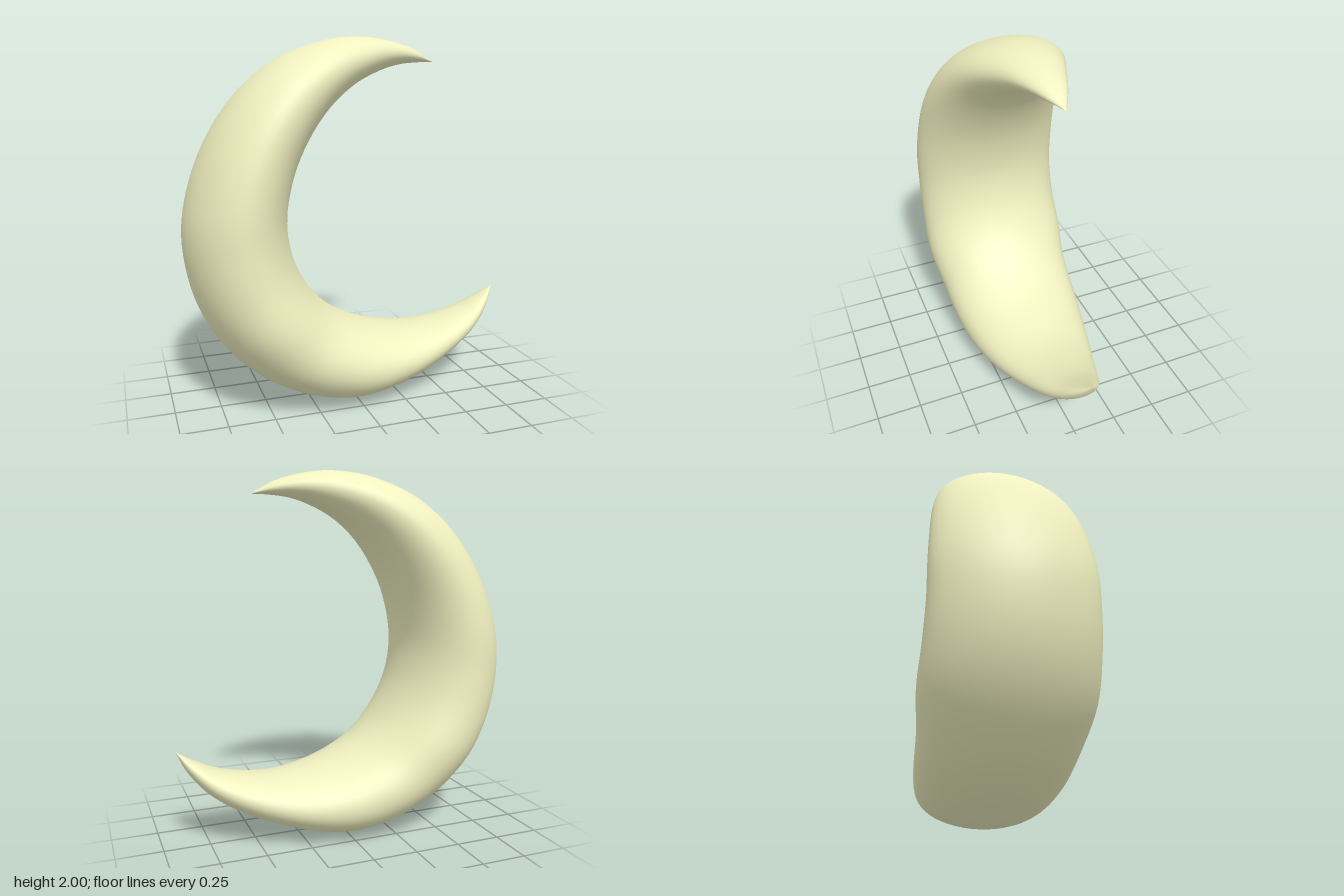
import * as THREE from 'three';

// Stations from the upper tip to the lower tip:
// [outer x, outer y, inner x, inner y, half thickness in z]
const STATIONS = [
  [0.49, 1.87, 0.49, 1.87, 0],
  [0.36, 1.94, 0.40, 1.868, 0.06],
  [0.20, 1.985, 0.28, 1.855, 0.12],
  [0.03, 2.0, 0.16, 1.82, 0.18],
  [-0.18, 1.97, 0.0, 1.74, 0.26],
  [-0.42, 1.87, -0.14, 1.62, 0.33],
  [-0.63, 1.69, -0.25, 1.47, 0.38],
  [-0.80, 1.43, -0.33, 1.30, 0.41],
  [-0.90, 1.14, -0.375, 1.10, 0.425],
  [-0.92, 0.92, -0.37, 0.95, 0.425],
  [-0.87, 0.64, -0.33, 0.80, 0.43],
  [-0.75, 0.40, -0.24, 0.64, 0.435],
  [-0.55, 0.19, -0.12, 0.52, 0.405],
  [-0.30, 0.055, 0.02, 0.44, 0.385],
  [-0.03, 0.0, 0.17, 0.39, 0.35],
  [0.25, 0.045, 0.36, 0.36, 0.29],
  [0.55, 0.16, 0.53, 0.375, 0.21],
  [0.75, 0.29, 0.70, 0.42, 0.14],
  [0.86, 0.42, 0.82, 0.48, 0.075],
  [0.92, 0.54, 0.92, 0.54, 0],
];
const RINGS = 95, SIDES = 48;

function crescentGeometry() {
  // The z of the outer curve carries the half thickness
  const outer = new THREE.CatmullRomCurve3(STATIONS.map(s => new THREE.Vector3(s[0], s[1], s[4])));
  const inner = new THREE.CatmullRomCurve3(STATIONS.map(s => new THREE.Vector3(s[2], s[3], 0)));
  const positions = [], indices = [];

  for (let i = 0; i <= RINGS; i++) {
    const o = outer.getPoint(i / RINGS), n = inner.getPoint(i / RINGS);
    for (let j = 0; j < SIDES; j++) {
      // Elliptical section spanning inner edge to outer edge
      const a = (j / SIDES) * Math.PI * 2;
      const k = (1 + Math.cos(a)) / 2;
      positions.push(n.x + (o.x - n.x) * k, n.y + (o.y - n.y) * k, Math.sin(a) * o.z);
      if (i < RINGS) {
        const p = i * SIDES + j, q = i * SIDES + (j + 1) % SIDES;
        indices.push(p, p + SIDES, q, q, p + SIDES, q + SIDES);
      }
    }
  }
  const geometry = new THREE.BufferGeometry();
  geometry.setAttribute('position', new THREE.Float32BufferAttribute(positions, 3));
  geometry.setIndex(indices);
  geometry.computeVertexNormals();
  return geometry;
}

export function createModel() {
  const group = new THREE.Group();
  group.name = 'crescentMoon';
  const crescent = new THREE.Mesh(
    crescentGeometry(),
    new THREE.MeshStandardMaterial({ color: 0xf0f0c0 })
  );
  crescent.name = 'crescent';
  group.add(crescent);
  return group;
}
